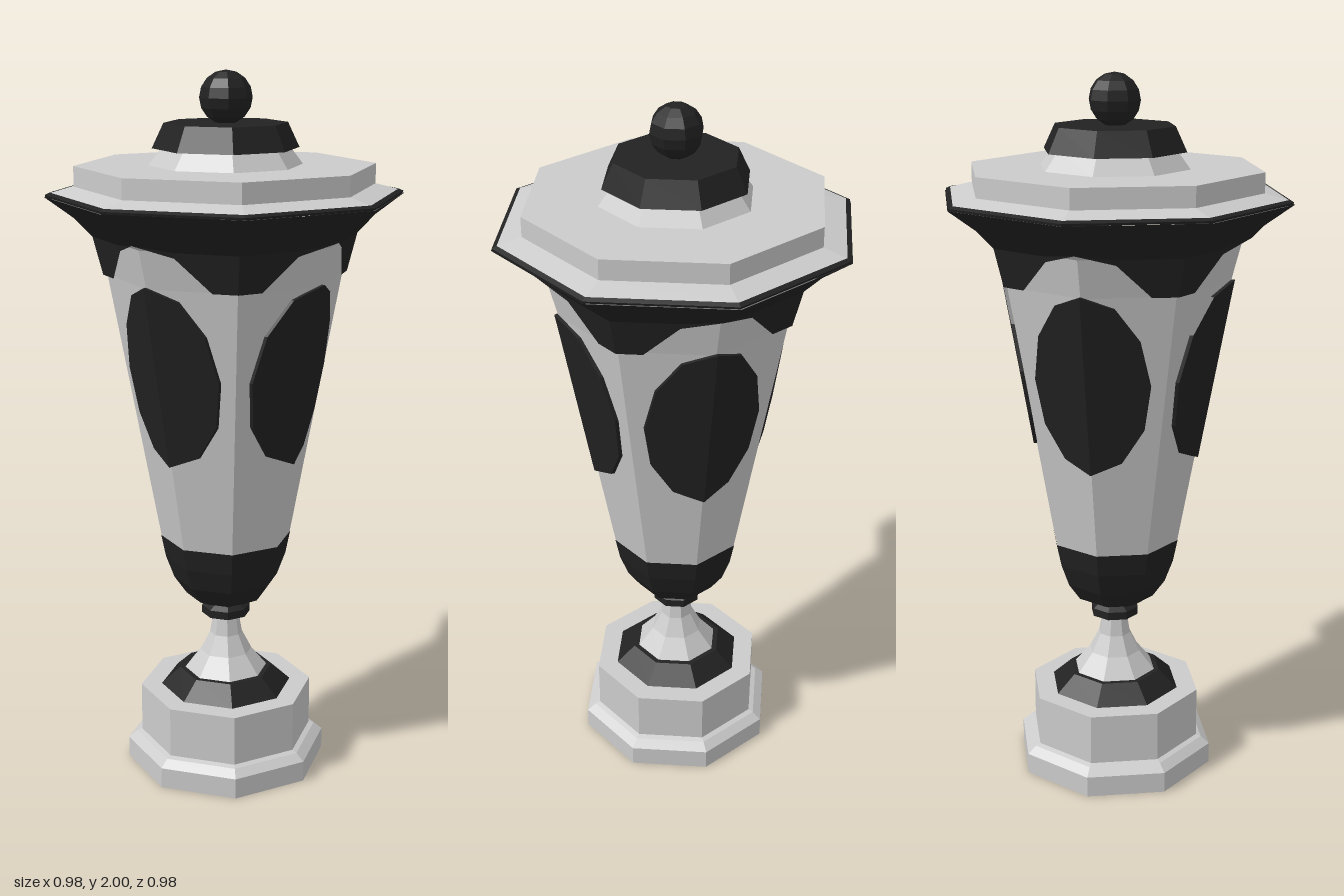
import * as THREE from 'three';

const GREY = new THREE.MeshStandardMaterial({ color: 0xcccccc, flatShading: true });
const DARK = new THREE.MeshStandardMaterial({ color: 0x222222, flatShading: true });
const DARK_THIN = new THREE.MeshStandardMaterial({ color: 0x222222, flatShading: true, side: THREE.DoubleSide });

// Radius profile of the cup wall, as [radius, height]
const WALL = [[0.185, 0.69], [0.325, 1.455], [0.352, 1.56], [0.4, 1.61], [0.475, 1.665]];

function wallRadius(y) {
  for (let i = 1; i < WALL.length; i++) {
    const [r0, y0] = WALL[i - 1], [r1, y1] = WALL[i];
    if (y <= y1 || i === WALL.length - 1) return r0 + (r1 - r0) * (y - y0) / (y1 - y0);
  }
}

function add(group, name, geometry, material) {
  const mesh = new THREE.Mesh(geometry, material);
  mesh.name = name;
  group.add(mesh);
  return mesh;
}

// Eight-sided turned part, profile listed from bottom to top
function turned(group, name, profile, material) {
  const points = profile.map(([r, y]) => new THREE.Vector2(r, y));
  return add(group, name, new THREE.LatheGeometry(points, 8), material);
}

function fromQuads(quads) {
  const pos = [];
  for (const [a, b, c, d] of quads) pos.push(...a, ...b, ...c, ...a, ...c, ...d);
  const g = new THREE.BufferGeometry();
  g.setAttribute('position', new THREE.Float32BufferAttribute(pos, 3));
  g.computeVertexNormals();
  return g;
}

// Flared collar whose lower edge arches up over four of the eight corners
function collarGeometry() {
  const arch = [[0, 1.575], [0.37, 1.545], [0.73, 1.455], [1, 1.455]];
  const levels = [1.455, 1.51, 1.56, 1.61, 1.668];
  const quads = [];
  const corner = (k) => [Math.sin(k * Math.PI / 4), Math.cos(k * Math.PI / 4)];
  for (let s = 0; s < 8; s++) {
    const a = corner(s), b = corner(s + 1);
    const cols = s % 2 ? arch.map(([t, y]) => [1 - t, y]).reverse() : arch;
    const point = ([t, low], level) => {
      const y = Math.max(low, level), r = wallRadius(y) + 0.012;
      return [r * (a[0] + (b[0] - a[0]) * t), y, r * (a[1] + (b[1] - a[1]) * t)];
    };
    for (let c = 0; c < 3; c++)
      for (let l = 0; l < levels.length - 1; l++)
        quads.push([point(cols[c], levels[l]), point(cols[c + 1], levels[l]),
          point(cols[c + 1], levels[l + 1]), point(cols[c], levels[l + 1])]);
  }
  return fromQuads(quads);
}

// Oval plaque folded around a corner of the cup, with a thin rim
function plaqueGeometry() {
  const quads = [], steps = 6;
  const point = (x, y, lift) => [x, y, wallRadius(y) + lift - Math.abs(x) * Math.tan(Math.PI / 8)];
  const edge = (i) => [0.16 * Math.sin(i * Math.PI / steps), 1.205 - 0.255 * Math.cos(i * Math.PI / steps)];
  for (let i = 0; i < steps; i++) {
    const [x0, y0] = edge(i), [x1, y1] = edge(i + 1);
    for (const side of [1, -1]) {
      const face = [point(0, y0, 0.01), point(side * x0, y0, 0.01), point(side * x1, y1, 0.01), point(0, y1, 0.01)];
      const rim = [point(side * x0, y0, -0.01), point(side * x1, y1, -0.01), face[2], face[1]];
      quads.push(side > 0 ? face : face.reverse(), side > 0 ? rim : rim.reverse());
    }
  }
  return fromQuads(quads);
}

export function createModel() {
  const model = new THREE.Group();
  model.name = 'lidded trophy cup';

  // Foot and stem
  turned(model, 'plinth', [[0, 0], [0.29, 0], [0.29, 0.06], [0.265, 0.08], [0.25, 0.085], [0.25, 0.23], [0, 0.23]], GREY);
  turned(model, 'footRing', [[0.19, 0.23], [0.135, 0.28], [0, 0.28]], DARK);
  turned(model, 'stem', [[0.12, 0.28], [0.075, 0.335], [0.047, 0.39], [0.035, 0.46]], GREY);
  turned(model, 'stemKnot', [[0, 0.452], [0.07, 0.452], [0.07, 0.475], [0.045, 0.492], [0, 0.492]], DARK);

  // Cup
  turned(model, 'bowlBase', [[0, 0.49], [0.07, 0.493], [0.115, 0.515], [0.15, 0.565], [0.174, 0.63], [0.187, 0.695]], DARK);
  turned(model, 'cupWall', WALL, GREY);
  add(model, 'flaredCollar', collarGeometry(), DARK_THIN);
  turned(model, 'rim', [[0.487, 1.668], [0.489, 1.674], [0.476, 1.68]], DARK_THIN);
  const plaque = plaqueGeometry();
  for (let i = 0; i < 4; i++) add(model, 'ovalPlaque', plaque, DARK_THIN).rotation.y = i * Math.PI / 2;

  // Lid
  turned(model, 'lid', [[0.478, 1.678], [0.411, 1.695], [0.411, 1.75], [0.21, 1.75], [0.172, 1.8]], GREY);
  turned(model, 'lidCap', [[0, 1.795], [0.2, 1.795], [0.168, 1.862], [0, 1.862]], DARK);
  add(model, 'finial', new THREE.SphereGeometry(0.072, 8, 8), DARK).position.y = 1.928;

  return model;
}
